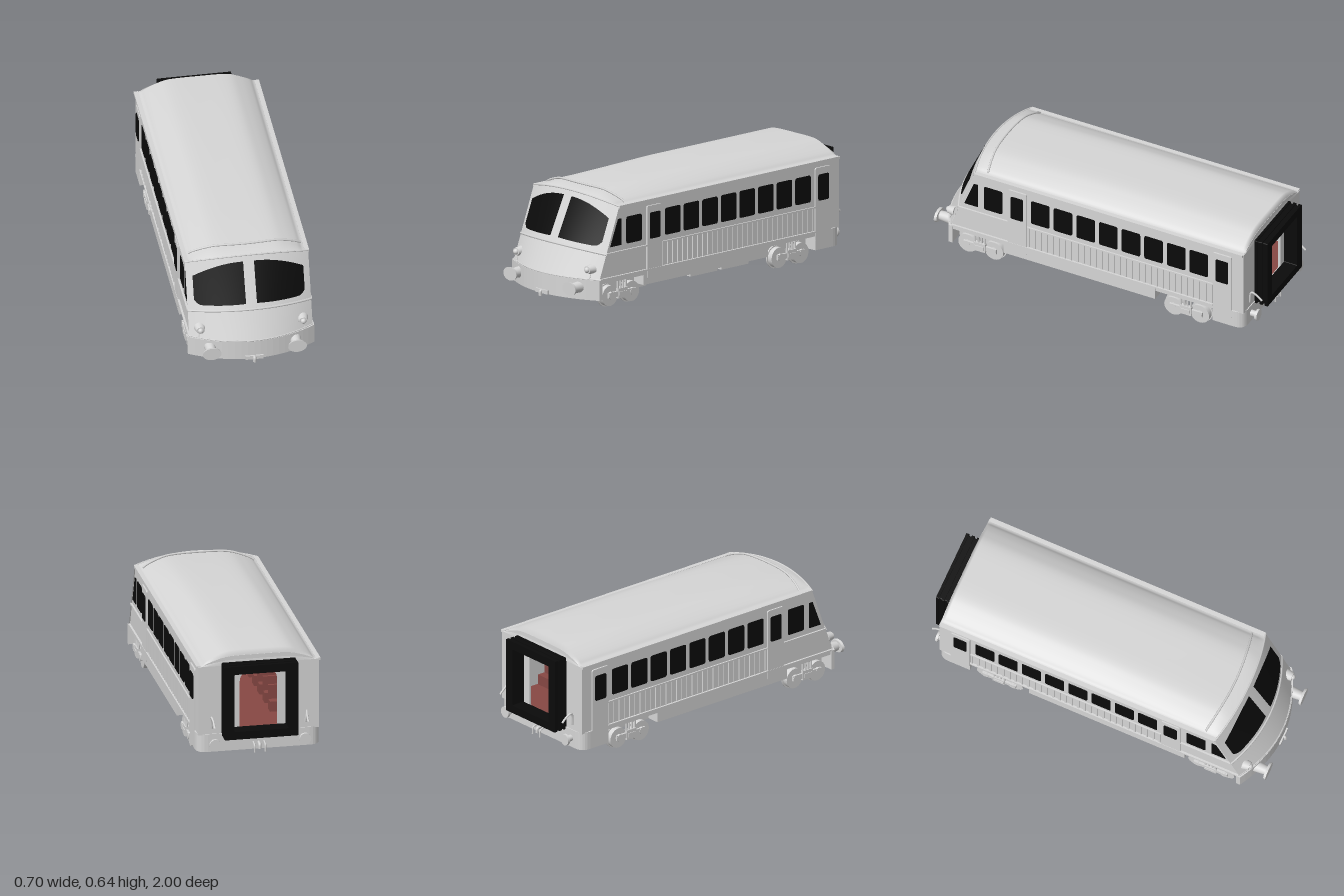
import * as THREE from 'three';

const mat = (name, color, side = THREE.FrontSide) => {
  const m = new THREE.MeshStandardMaterial({ color, side });
  m.name = name;
  return m;
};

export function createModel() {
  const model = new THREE.Group();
  model.name = 'railcar';
  const paint = mat('light grey paint', 0xd6d6d6, THREE.DoubleSide);
  const black = mat('black glass and rubber', 0x0b0b0b, THREE.DoubleSide);
  const red = mat('red brown interior', 0x874844);

  const add = (name, geo, m = paint) => {
    const mesh = new THREE.Mesh(geo, m);
    mesh.name = name;
    model.add(mesh);
    return mesh;
  };
  // box given by its ranges
  const box = (name, x0, x1, y0, y1, z0, z1, m) =>
    add(name, new THREE.BoxGeometry(x1 - x0, y1 - y0, z1 - z0)
      .translate((x0 + x1) / 2, (y0 + y1) / 2, (z0 + z1) / 2), m);
  const poly = pts => new THREE.Shape(pts.map(p => new THREE.Vector2(...p)));
  const rounded = (x0, y0, x1, y1, r, rTop = r, Type = THREE.Shape) => {
    const s = new Type();
    s.moveTo(x0 + r, y0).lineTo(x1 - r, y0).quadraticCurveTo(x1, y0, x1, y0 + r)
      .lineTo(x1, y1 - rTop).quadraticCurveTo(x1, y1, x1 - rTop, y1)
      .lineTo(x0 + rTop, y1).quadraticCurveTo(x0, y1, x0, y1 - rTop)
      .lineTo(x0, y0 + r).quadraticCurveTo(x0, y0, x0 + r, y0);
    return s;
  };
  const extrude = (shape, depth) =>
    new THREE.ExtrudeGeometry(shape, { depth, bevelEnabled: false, curveSegments: 6 });
  // shape in (z, y), made into a slab whose outer face is at |x| = outer
  const slab = (name, shape, depth, outer, s, m) =>
    add(name, extrude(shape, depth).rotateY(-Math.PI / 2)
      .translate(s > 0 ? outer : depth - outer, 0, 0), m);
  // shape in (x, -z), extruded upwards
  const plan = (name, shape, y, h) => add(name, extrude(shape, h).rotateX(-Math.PI / 2).translate(0, y, 0));
  const tube = (name, pts, r, m) => add(name, new THREE.TubeGeometry(
    new THREE.CatmullRomCurve3(pts.map(p => new THREE.Vector3(...p))), 32, r, 6), m);
  const disc = (name, r0, r1, len, x, y, z, axis, m) => {
    const g = new THREE.CylinderGeometry(r0, r1, len, 24);
    if (axis === 'x') g.rotateZ(Math.PI / 2); else g.rotateX(Math.PI / 2);
    return add(name, g.translate(x, y, z), m);
  };

  // raked, bowed nose surface
  const nose = (x, y) => {
    const t = (y - 0.17) / 0.4;
    return 0.97 - 0.19 * t - (0.105 - 0.04 * t) * (x / 0.34) ** 2;
  };
  const browY = x => 0.6 - 0.04 * (x / 0.34) ** 2;
  const nosePatch = (name, x0, x1, low, high, lift, m) => {
    const g = new THREE.PlaneGeometry(1, 1, 28, 8), p = g.attributes.position;
    for (let i = 0; i < p.count; i++) {
      const x = x0 + (x1 - x0) * (p.getX(i) + 0.5);
      const y = low(x) + (high(x) - low(x)) * (p.getY(i) + 0.5);
      p.setXYZ(i, x, y, nose(x, y) + lift);
    }
    g.computeVertexNormals();
    return add(name, g, m);
  };
  const noseBead = (name, yAt, r) => {
    const pts = [];
    for (let i = -8; i <= 8; i++) {
      const x = i * 0.0425;
      pts.push([x, yAt(x), nose(x, yAt(x))]);
    }
    tube(name, pts, r);
  };
  nosePatch('nosePanel', -0.34, 0.34, () => 0.165, browY, 0);
  noseBead('noseBelt', x => 0.328 - 0.023 * (x / 0.34) ** 2, 0.007);
  noseBead('noseSkirtBead', () => 0.172, 0.004);
  noseBead('browTrim', browY, 0.005);
  for (const s of [-1, 1]) {
    const u = x => (Math.abs(x) - 0.03) / 0.275;
    nosePatch('windscreen', s > 0 ? 0.03 : -0.305, s > 0 ? 0.305 : -0.03,
      x => 0.36 - 0.015 * u(x) + 0.025 * Math.max(0, (u(x) - 0.86) / 0.14) ** 2,
      x => 0.572 - 0.077 * u(x) ** 2, 0.006, black);
  }

  // roof lofted from a crown profile, dropping to the brow at the front
  const crown = new THREE.SplineCurve([[-0.335, 0], [-0.31, 0.006], [-0.285, 0.026], [-0.23, 0.054],
    [-0.155, 0.076], [0, 0.079], [0.155, 0.076], [0.23, 0.054], [0.285, 0.026], [0.31, 0.006], [0.335, 0]]
    .map(p => new THREE.Vector2(...p))).getPoints(40);
  const rows = [[-0.922, 0], [-0.918, 0.75], [-0.9, 1], [-0.4, 1], [0, 1], [0.35, 0.86], [0.69, 0.72], null];
  const roof = new THREE.PlaneGeometry(1, 1, 40, rows.length - 1);
  rows.forEach((row, j) => crown.forEach((c, i) => {
    const k = j * 41 + i;
    if (row) roof.attributes.position.setXYZ(k, c.x, 0.56 + c.y * row[1], row[0]);
    else roof.attributes.position.setXYZ(k, c.x, browY(c.x), nose(c.x, browY(c.x)));
  }));
  roof.computeVertexNormals();
  add('roof', roof);
  tube('roofFrontArch', crown.filter(c => Math.abs(c.x) < 0.315)
    .map(c => [c.x, 0.566 + c.y * 0.74, 0.69 - 0.4 * c.x * c.x]), 0.006);

  // sides
  const corner = y => nose(0.34, y);
  const windowZ = [0.606];
  for (let i = 0; i < 8; i++) windowZ.push(0.318 - i * 0.1382);
  for (const s of [-1, 1]) {
    slab('sideWall', poly([[-0.915, 0.165], [corner(0.165), 0.165], [corner(0.56), 0.56], [-0.915, 0.56]]),
      0.015, 0.335, s);
    slab('cabQuarterWindow', poly([[0.7, 0.342], [0.782, 0.342], [0.724, 0.49], [0.7, 0.49]]), 0.006, 0.339, s, black);
    for (const z of windowZ)
      slab('sideWindow', rounded(z - 0.056, 0.342, z + 0.056, 0.492, 0.012), 0.006, 0.339, s, black);
    for (const z of [0.457, -0.794]) {
      slab('door', rounded(z - 0.057, 0.118, z + 0.057, 0.527, 0.012), 0.015, 0.344, s);
      slab('doorWindow', rounded(z - 0.038, 0.342, z + 0.038, 0.488, 0.01), 0.006, 0.348, s, black);
    }
    const bar = (name, a, b, y0, y1, z0, z1) => box(name, s > 0 ? a : -b, s > 0 ? b : -a, y0, y1, z0, z1);
    for (let i = 0; i <= 30; i++) {
      const z = 0.39 - i * 0.0372;
      bar('panelRib', 0.33, 0.341, 0.178, 0.303, z - 0.005, z + 0.005);
    }
    bar('panelTopBead', 0.33, 0.343, 0.303, 0.311, -0.735, 0.398);
    bar('cabBead', 0.33, 0.345, 0.302, 0.311, 0.515, corner(0.305));
    bar('gutter', 0.32, 0.345, 0.55, 0.564, -0.918, corner(0.56));
    bar('skirtBead', 0.33, 0.346, 0.166, 0.175, -0.735, 0.86);
  }

  // rear wall with doorway
  const rear = poly([[-0.335, 0.165], [0.335, 0.165], ...crown.slice().reverse().map(c => [c.x, 0.558 + c.y * 0.7])]);
  rear.holes.push(rounded(-0.105, 0.185, 0.105, 0.51, 0.01, 0.05, THREE.Path));
  add('rearWall', extrude(rear, 0.014).translate(0, 0, -0.92));

  // folding gangway frame
  for (let i = 0; i < 5; i++) {
    const inset = i % 2 ? 0.007 : 0;
    const ring = rounded(-0.205 + inset, 0.155 + inset, 0.205 - inset, 0.577 - inset, 0.005);
    ring.holes.push(rounded(-0.15, 0.2, 0.15, 0.53, 0.005, 0.005, THREE.Path));
    add('gangwayFold', extrude(ring, 0.0162).translate(0, 0, -1 + i * 0.0162), black);
  }

  // interior
  box('interiorFloor', -0.32, 0.32, 0.171, 0.182, -0.905, 0.84, red);
  for (const s of [-1, 1]) for (let i = 0; i < 8; i++) {
    const z = 0.318 - i * 0.1382, x = s * 0.215;
    box('seat', x - 0.1, x + 0.1, 0.182, 0.24, z - 0.03, z + 0.03, red);
    box('seatBack', x - 0.1, x + 0.1, 0.24, 0.32, z + 0.015, z + 0.03, red);
  }

  // skirts and underframe
  const front = [[-0.348, -0.85]];
  for (let i = -10; i <= 10; i++) front.push([i * 0.0348, -nose(i * 0.0335, 0.17) - 0.004]);
  front.push([0.348, -0.85]);
  plan('frontSkirt', poly(front), 0.058, 0.112);
  plan('rearSkirt', rounded(-0.343, 0.735, 0.343, 0.925, 0.001, 0.06), 0.068, 0.102);
  box('floorDeck', -0.34, 0.34, 0.145, 0.17, -0.74, 0.86);
  box('middleSkirt', -0.341, 0.341, 0.09, 0.165, -0.385, 0.54);
  box('rearUnderframe', -0.265, 0.265, 0.088, 0.15, -0.74, -0.38);
  box('frontPlate', -0.265, 0.265, 0.058, 0.15, 0.45, 0.86);
  box('underfloorBox', -0.255, 0.255, 0.048, 0.092, -0.09, 0.11);
  box('underfloorBox', -0.255, 0.255, 0.048, 0.092, -0.32, -0.12);

  // bogies
  for (const zc of [0.69, -0.567]) {
    for (const dz of [-0.08, 0.08]) {
      disc('axle', 0.01, 0.01, 0.6, 0, 0.068, zc + dz, 'x');
      for (const s of [-1, 1]) {
        disc('wheel', 0.057, 0.057, 0.03, s * 0.307, 0.065, zc + dz, 'x');
        disc('wheelFlange', 0.064, 0.064, 0.008, s * 0.288, 0.065, zc + dz, 'x');
        disc('wheelHub', 0.02, 0.02, 0.024, s * 0.325, 0.068, zc + dz, 'x');
      }
    }
    for (const s of [-1, 1]) {
      const x = s * 0.329;
      box('bogieFrame', x - 0.006, x + 0.006, 0.055, 0.085, zc - 0.1, zc + 0.1);
      box('bogieCentre', x - 0.01, x + 0.01, 0.045, 0.1, zc - 0.035, zc + 0.035);
      box('axleBox', x - 0.014, x + 0.014, 0.06, 0.082, zc - 0.028, zc + 0.028);
      for (const dz of [-0.03, -0.01, 0.01, 0.03])
        add('spring', new THREE.CylinderGeometry(0.006, 0.006, 0.05, 8).translate(x, 0.12, zc + dz));
    }
  }

  // buffers, lamps, couplers and hoses
  for (const s of [-1, 1]) {
    disc('frontBufferStem', 0.026, 0.034, 0.09, s * 0.235, 0.125, 0.935, 'z');
    disc('frontBufferHead', 0.052, 0.048, 0.014, s * 0.235, 0.125, 0.988, 'z').scale.set(1, 0.72, 1);
    model.children[model.children.length - 1].position.y = 0.035;
    disc('rearBufferStem', 0.018, 0.018, 0.05, s * 0.25, 0.12, -0.94, 'z');
    disc('rearBufferHead', 0.032, 0.032, 0.014, s * 0.25, 0.12, -0.965, 'z');
    const lz = nose(0.285, 0.225);
    disc('lampBody', 0.024, 0.032, 0.04, s * 0.283, 0.225, lz + 0.01, 'z').scale.set(1, 0.85, 1);
    model.children[model.children.length - 1].position.y = 0.034;
    add('lampLens', new THREE.SphereGeometry(0.016, 16, 10).translate(s * 0.283, 0.225, lz + 0.03));
    tube('lampConduit', [[s * 0.29, 0.2, nose(0.29, 0.2) + 0.002], [s * 0.29, 0.17, nose(0.29, 0.17) + 0.002]], 0.003);
    tube('rearHose', [[s * 0.26, 0.2, -0.92], [s * 0.265, 0.27, -0.935], [s * 0.26, 0.255, -0.965], [s * 0.26, 0.23, -0.995]], 0.006);
    tube('rearCouplingHose', [[s * 0.03, 0.11, -0.92], [s * 0.03, 0.1, -0.955], [s * 0.03, 0.06, -0.96]], 0.005);
  }
  box('couplerPlate', -0.05, 0.05, 0.058, 0.08, 0.95, 0.982);
  tube('frontHook', [[0, 0.072, 0.96], [0, 0.07, 0.985], [0, 0.045, 0.988]], 0.009);
  tube('rearHook', [[0, 0.105, -0.91], [0, 0.1, -0.95], [0, 0.075, -0.955]], 0.009);
  return model;
}
